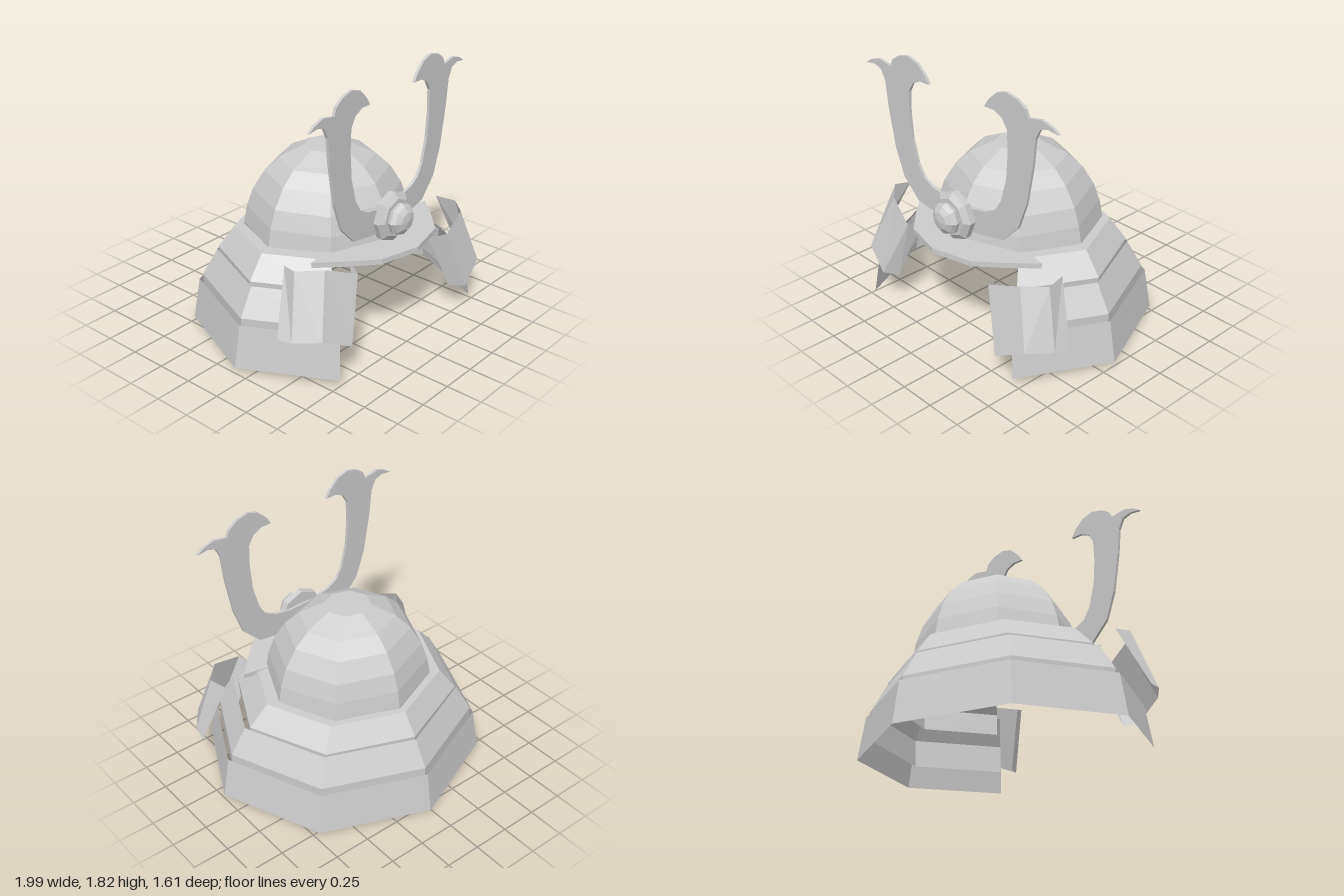
import * as THREE from 'three';

const grey = new THREE.MeshStandardMaterial({ color: 0xcccccc, flatShading: true, side: THREE.DoubleSide });

function add(parent, name, geometry) {
  const mesh = new THREE.Mesh(geometry, grey);
  mesh.name = name;
  parent.add(mesh);
  return mesh;
}

// Surface through rows of points; every row has the same number of points
function sheet(rows) {
  const pos = [];
  for (let i = 0; i < rows.length - 1; i++) {
    for (let j = 0; j < rows[i].length - 1; j++) {
      const a = rows[i][j], b = rows[i][j + 1], c = rows[i + 1][j + 1], d = rows[i + 1][j];
      pos.push(...a, ...d, ...c, ...a, ...c, ...b);
    }
  }
  const g = new THREE.BufferGeometry();
  g.setAttribute('position', new THREE.Float32BufferAttribute(pos, 3));
  g.computeVertexNormals();
  return g;
}

const lathe = (points, sides) =>
  new THREE.LatheGeometry(points.map(([r, y]) => new THREE.Vector2(r, y)), sides);

const toShape = (points) => new THREE.Shape(points.map(([x, y]) => new THREE.Vector2(x, y)));

// Open octagonal ring of a neck guard: half width, back depth, centre z, height
function ring([w, back, zc, y]) {
  const plan = [
    [0.7 * w, zc + 0.61 * w], [w, zc], [0.71 * w, zc - 0.7 * (back + zc)], [0, -back],
    [-0.71 * w, zc - 0.7 * (back + zc)], [-w, zc], [-0.7 * w, zc + 0.61 * w],
  ];
  return plan.map(([x, z]) => [x + 0.005, y + 0.031 * z, z]);
}

export function createModel() {
  const model = new THREE.Group();
  model.name = 'helmet';

  // Eight-sided bowl
  const bowl = add(model, 'bowl', lathe([
    [0.575, 0.68], [0.553, 0.8], [0.51, 0.92], [0.43, 1.045], [0.33, 1.135], [0.16, 1.217], [0, 1.22],
  ], 8));
  bowl.scale.z = 0.93;
  bowl.position.set(0.015, 0, 0.05);

  // Neck guard tiers, the upper two with a lip tucked inside the next tier
  const tiers = [
    [[0.57, 0.48, 0.05, 0.685], [0.66, 0.53, 0.08, 0.685], [0.79, 0.63, 0.1, 0.545], [0.78, 0.62, 0.1, 0.395]],
    [[0.81, 0.64, 0.13, 0.53], [0.92, 0.74, 0.14, 0.352], [0.915, 0.74, 0.14, 0.165]],
    [[0.945, 0.768, 0.15, 0.316], [0.995, 0.81, 0.15, 0.03]],
  ];
  tiers.forEach((profile, i) => add(model, 'neckGuardTier' + (i + 1), sheet(profile.map(ring))));

  // Visor plate wrapped around the front of the bowl
  const visorShape = toShape([
    [0.61, 0.42], [0.46, 0.58], [0.3, 0.73], [0.015, 0.8], [-0.26, 0.73], [-0.42, 0.58], [-0.57, 0.42],
    [-0.4, 0.38], [0.015, 0.53], [0.42, 0.38],
  ]);
  const visorGeo = new THREE.ExtrudeGeometry(visorShape, { depth: 0.035, bevelEnabled: false });
  visorGeo.rotateX(Math.PI / 2);
  const visor = add(model, 'visor', visorGeo);
  visor.rotation.x = -0.03;
  visor.position.y = 0.692;

  // Folded side flaps: top and bottom edge from the outer end inwards
  add(model, 'leftFlap', sheet([
    [[0.77, 0.68, 0.4], [0.8, 0.675, 0.54], [0.68, 0.68, 0.67], [0.45, 0.61, 0.72], [0.39, 0.57, 0.62]],
    [[0.93, 0.26, 0.49], [0.91, 0.28, 0.6], [0.8, 0.29, 0.75], [0.59, 0.19, 0.8], [0.53, 0.18, 0.7]],
  ]));
  add(model, 'rightFlap', sheet([
    [[-0.75, 0.74, 0.36], [-0.78, 0.75, 0.47], [-0.64, 0.745, 0.59], [-0.41, 0.65, 0.66], [-0.37, 0.68, 0.57]],
    [[-0.93, 0.34, 0.46], [-0.91, 0.345, 0.56], [-0.79, 0.35, 0.7], [-0.58, 0.25, 0.76], [-0.52, 0.22, 0.67]],
  ]));

  // Crest with two horns, one half outlined and mirrored
  const half = [
    [0.16, 0.79], [0.38, 0.83], [0.51, 0.96], [0.58, 1.15], [0.63, 1.42], [0.65, 1.6], [0.685, 1.67],
    [0.745, 1.69], [0.825, 1.68], [0.78, 1.71], [0.7, 1.735], [0.59, 1.715], [0.57, 1.765], [0.51, 1.805],
    [0.42, 1.825], [0.34, 1.8], [0.275, 1.74], [0.24, 1.685], [0.32, 1.685], [0.385, 1.655], [0.425, 1.59],
    [0.43, 1.44], [0.415, 1.26], [0.37, 1.1], [0.32, 1.02], [0.24, 0.975], [0.11, 0.95],
  ];
  const crestShape = toShape([...half, ...half.map(([x, y]) => [-x, y]).reverse()]);
  const crest = add(model, 'hornCrest', new THREE.ExtrudeGeometry(crestShape, { depth: 0.02, bevelEnabled: false }));
  crest.rotation.y = 0.06;
  crest.position.set(0.012, 0, 0.55);

  // Round boss in front of the crest
  const boss = new THREE.Group();
  boss.name = 'boss';
  add(boss, 'bossPlate', lathe([[0, 0], [0.165, 0], [0.17, 0.045], [0.13, 0.075], [0, 0.075]], 8));
  add(boss, 'bossKnob', lathe([[0.1, 0.07], [0.11, 0.1], [0.095, 0.13], [0.06, 0.155], [0, 0.165]], 8));
  boss.rotation.set(Math.PI / 2, 0, 0);
  boss.position.set(0.003, 0.873, 0.568);
  model.add(boss);

  return model;
}
